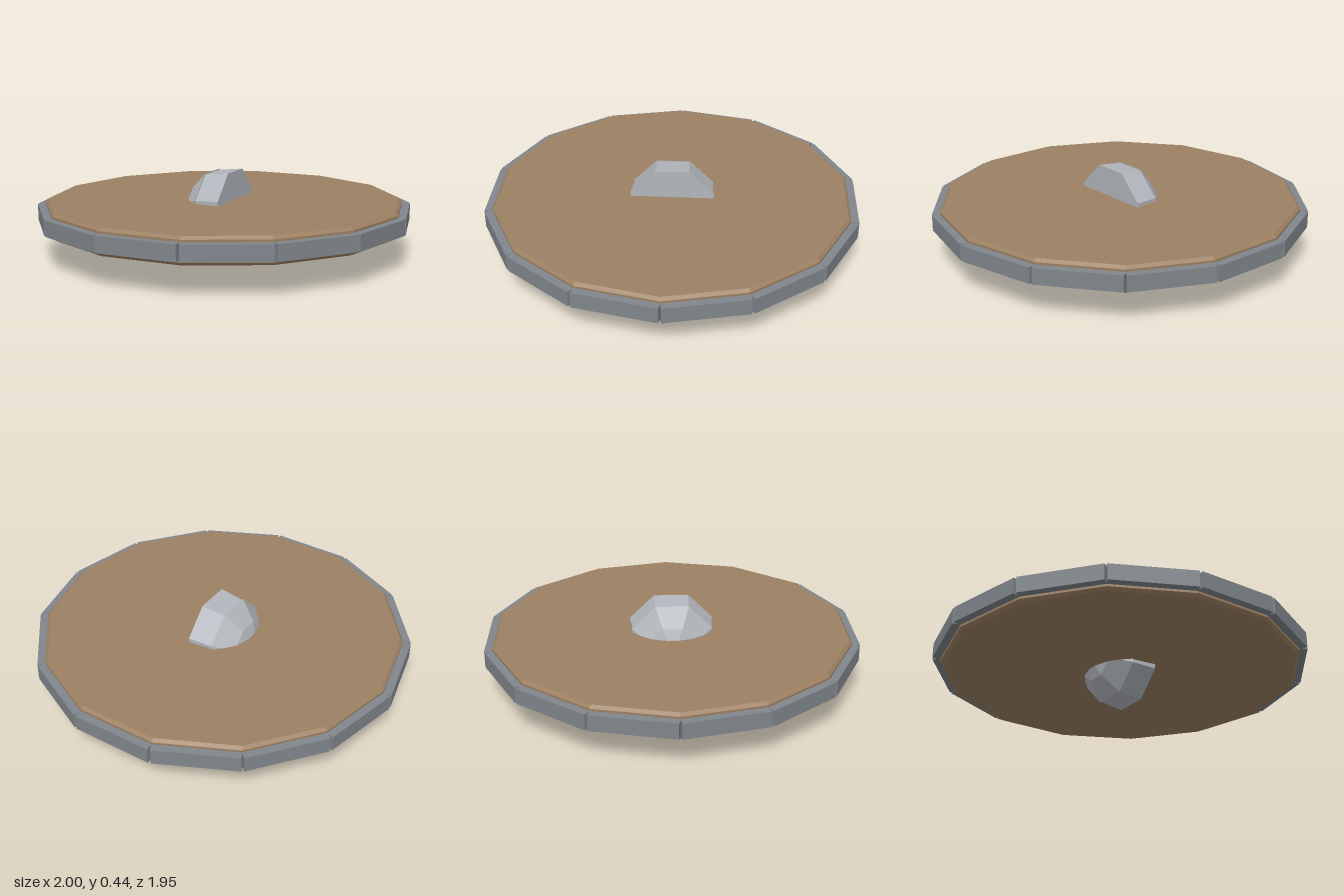
import * as THREE from 'three';

const SIDES = 14;
const MID_Y = 0.223;

// Faceted lathe; profile is [distance to flat side, y] from bottom to top
function prism(name, profile, sides, color) {
  const k = 1 / Math.cos(Math.PI / sides);
  const points = profile.map(([r, y]) => new THREE.Vector2(r * k, y));
  const geometry = new THREE.LatheGeometry(points, sides, Math.PI / sides);
  const mesh = new THREE.Mesh(geometry, new THREE.MeshStandardMaterial({ color, flatShading: true }));
  mesh.name = name;
  return mesh;
}

export function createModel() {
  const group = new THREE.Group();
  group.name = 'roundShield';

  // Wooden board with bevelled edges
  const board = prism('board', [
    [0, -0.069], [0.919, -0.069], [0.934, -0.054],
    [0.934, 0.054], [0.919, 0.069], [0, 0.069],
  ], SIDES, 0x9c8062);
  board.position.y = MID_Y;
  group.add(board);

  // Metal rim plates, one per side of the board
  const rim = new THREE.Group();
  rim.name = 'rim';
  const plateGeometry = new THREE.BoxGeometry(0.43, 0.084, 0.045);
  const plateMaterial = new THREE.MeshStandardMaterial({ color: 0x80868c, flatShading: true });
  for (let i = 0; i < SIDES; i++) {
    const angle = (i / SIDES) * Math.PI * 2;
    const plate = new THREE.Mesh(plateGeometry, plateMaterial);
    plate.name = 'rimPlate';
    plate.position.set(Math.sin(angle) * 0.953, MID_Y, Math.cos(angle) * 0.953);
    plate.rotation.y = angle;
    rim.add(plate);
  }
  group.add(rim);

  // Eight-sided boss lying along x, its dome pointing to -x
  const boss = new THREE.Group();
  boss.name = 'boss';
  boss.add(prism('bossBase', [[0, -0.065], [0.222, -0.065], [0.207, 0.072], [0, 0.072]], 8, 0xb2b6bc));
  boss.add(prism('bossDome', [
    [0, 0.068], [0.213, 0.07], [0.125, 0.162], [0.07, 0.184], [0, 0.19],
  ], 8, 0xb2b6bc));
  boss.rotation.z = Math.PI / 2;
  boss.position.y = MID_Y;
  group.add(boss);

  return group;
}
